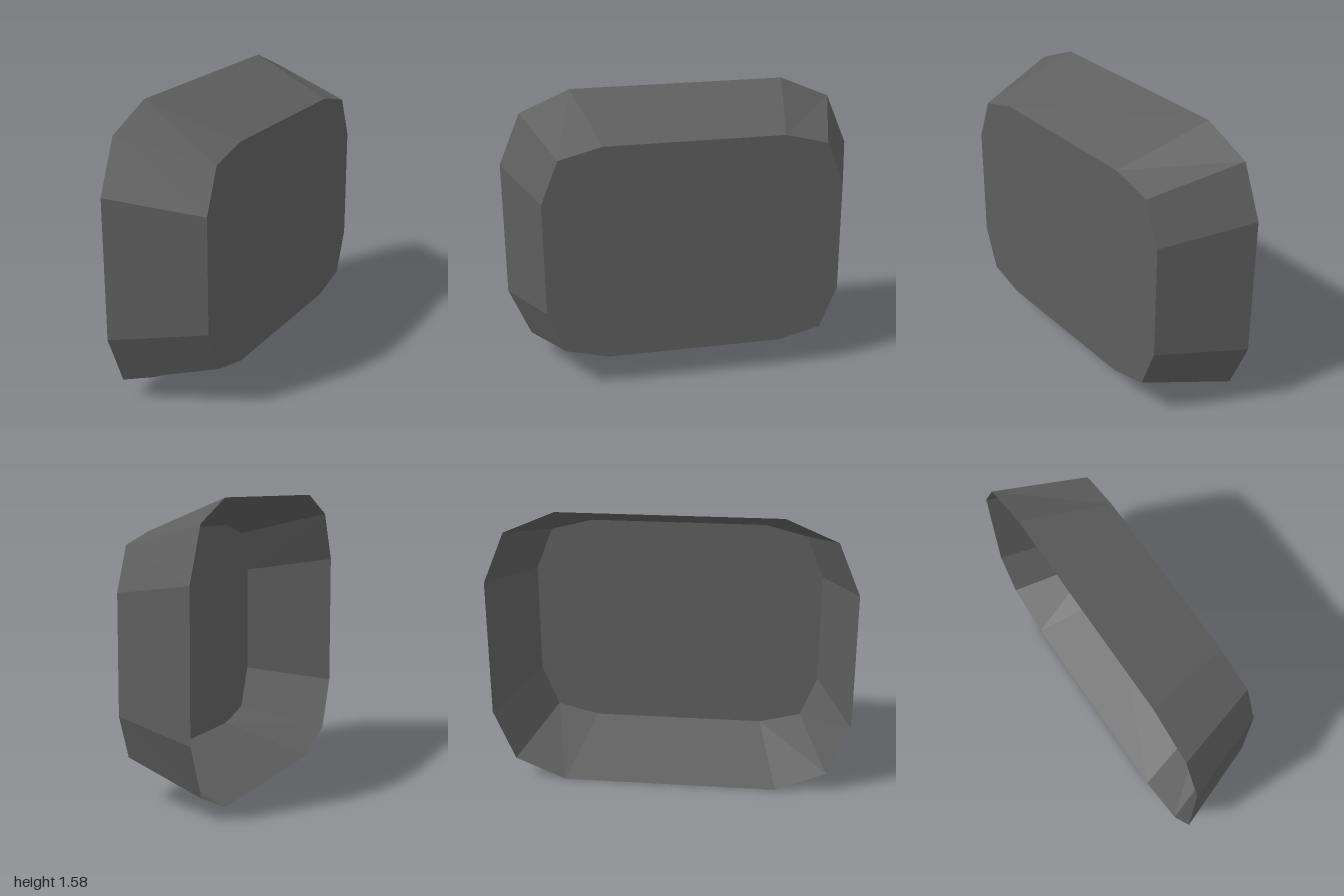
import * as THREE from 'three';

const CENTRE_Y = 0.79;

// Eight-cornered loop (each corner cut twice), anticlockwise seen from +x.
// quarter: [z, y] offsets from the centre, running from the top to the +z side.
function ring(quarter, x) {
  const back = [...quarter].reverse();
  const loop = [
    ...quarter,
    ...back.map(([z, y]) => [z, -y]),
    ...quarter.map(([z, y]) => [-z, -y]),
    ...back.map(([z, y]) => [-z, y]),
  ];
  return loop.map(([z, y]) => new THREE.Vector3(x, y + CENTRE_Y, z));
}

function facetedMesh(points, material, name) {
  const geometry = new THREE.BufferGeometry().setFromPoints(points);
  geometry.computeVertexNormals();
  const mesh = new THREE.Mesh(geometry, material);
  mesh.name = name;
  return mesh;
}

export function createModel() {
  const group = new THREE.Group();
  group.name = 'openTray';

  const darkGrey = new THREE.MeshStandardMaterial({
    color: 0x5e5e5e, flatShading: true, side: THREE.DoubleSide,
  });
  darkGrey.name = 'dark grey';

  const rim = ring([[0.6, 0.79], [0.88, 0.67], [1, 0.385]], -0.247);
  const base = ring([[0.49, 0.61], [0.725, 0.55], [0.82, 0.315]], 0.247);

  // Sloping walls between the open rim and the base
  const walls = [];
  rim.forEach((a, i) => {
    const j = (i + 1) % rim.length;
    walls.push(a, rim[j], base[j], a, base[j], base[i]);
  });
  group.add(facetedMesh(walls, darkGrey, 'slopingWalls'));

  // Flat closed base
  const plate = [];
  for (let i = 1; i < base.length - 1; i++) plate.push(base[0], base[i], base[i + 1]);
  group.add(facetedMesh(plate, darkGrey, 'basePlate'));

  return group;
}
